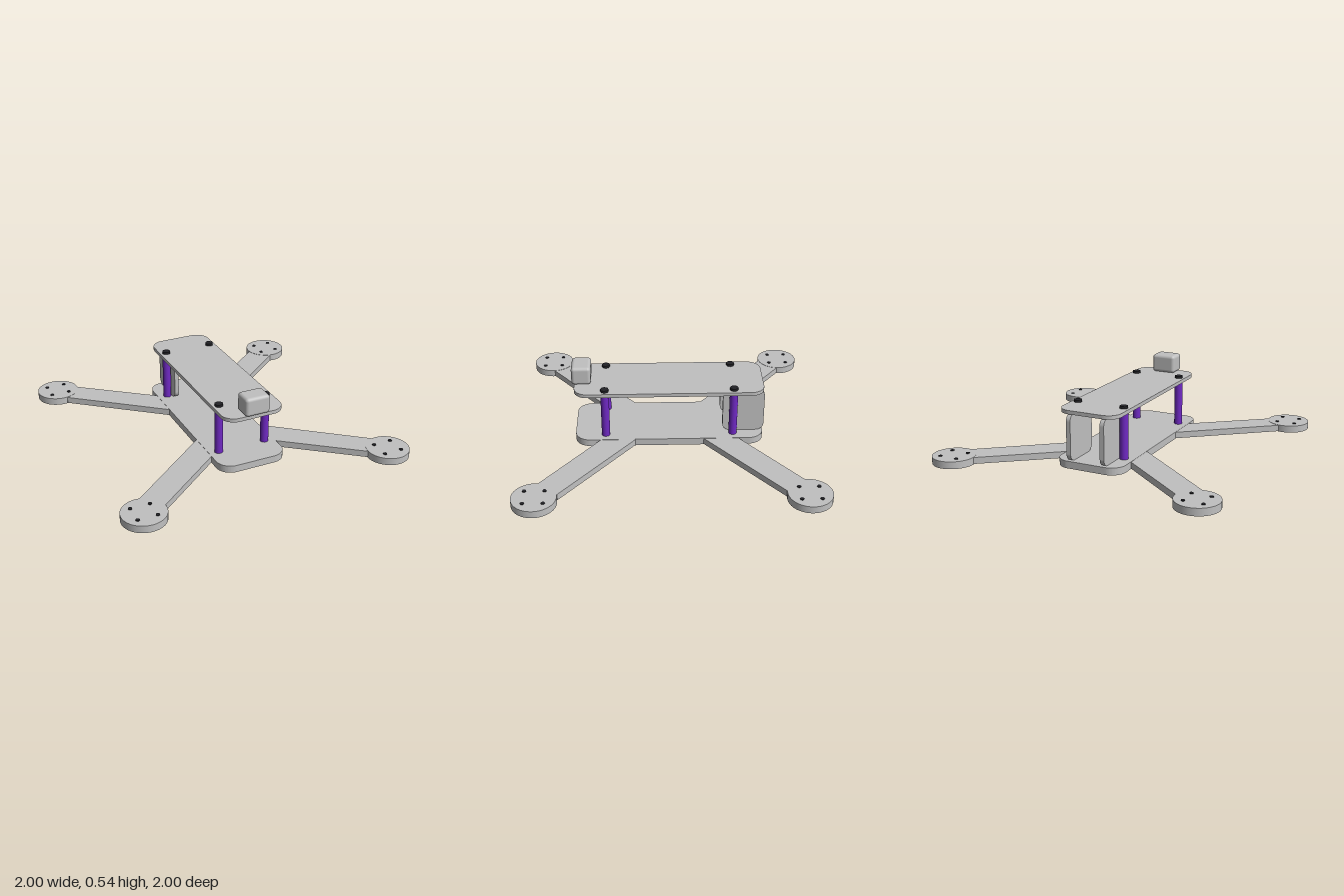
import * as THREE from 'three';
import { RoundedBoxGeometry } from 'three/addons/geometries/RoundedBoxGeometry.js';

function material(name, color) {
  const m = new THREE.MeshStandardMaterial({ color });
  m.name = name;
  return m;
}

function roundedRect(w, h, r) {
  const x = w / 2, y = h / 2, s = new THREE.Shape();
  s.absarc(x - r, y - r, r, 0, Math.PI / 2);
  s.absarc(-x + r, y - r, r, Math.PI / 2, Math.PI);
  s.absarc(-x + r, -y + r, r, Math.PI, Math.PI * 1.5);
  s.absarc(x - r, -y + r, r, Math.PI * 1.5, Math.PI * 2);
  s.closePath();
  return s;
}

// Extrudes a plan outline upwards from y0 to y1
function slab(shape, y0, y1) {
  const g = new THREE.ExtrudeGeometry(shape, { depth: y1 - y0, bevelEnabled: false, curveSegments: 8 });
  return g.rotateX(-Math.PI / 2).translate(0, y0, 0);
}

export function createModel() {
  const model = new THREE.Group();
  model.name = 'quadcopterFrame';
  const grey = material('frameGrey', 0xc0c0c0);
  const purple = material('standoffPurple', 0x7029c4);
  const black = material('screwBlack', 0x222226);

  const add = (name, geometry, mat, x = 0, y = 0, z = 0) => {
    const mesh = new THREE.Mesh(geometry, mat);
    mesh.name = name;
    mesh.position.set(x, y, z);
    model.add(mesh);
    return mesh;
  };
  const rod = (name, r, y0, y1, sides, mat, x, z) =>
    add(name, new THREE.CylinderGeometry(r, r, y1 - y0, sides), mat, x, (y0 + y1) / 2, z);

  // Main plates
  add('bottomPlate', slab(roundedRect(0.47, 1.27, 0.1), 0.022, 0.071), grey);
  add('topPlate', slab(roundedRect(0.42, 1.27, 0.09), 0.385, 0.41), grey);

  for (const sx of [-1, 1]) {
    for (const sz of [-1, 1]) {
      // Tapered arm running out to a round motor mount
      const arm = new THREE.Shape([
        [0.14, 0.39], [0.727, 0.853], [0.8, 0.87], [0.84, 0.81], [0.83, 0.714], [0.14, 0.153],
      ].map(([x, z]) => new THREE.Vector2(sx * x, -sz * z)));
      add('arm', slab(arm, 0.025, 0.069), grey);
      const mx = sx * 0.857, mz = sz * 0.857;
      rod('motorMount', 0.143, 0.022, 0.071, 40, grey, mx, mz);

      // Four small screws through each mount
      for (const dx of [-0.063, 0.063])
        for (const dz of [-0.063, 0.063])
          rod('motorScrew', 0.013, 0.019, 0.076, 8, black, mx + dx, mz + dz);

      // Standoff with a screw head above and below the plates
      const px = sx * 0.167, pz = sz * 0.43;
      rod('standoff', 0.028, 0.071, 0.385, 16, purple, px, pz);
      rod('topScrew', 0.028, 0.41, 0.426, 8, black, px, pz);
      rod('bottomScrew', 0.028, 0, 0.022, 8, black, px, pz);
    }

    // Upright rear side plate
    const side = new THREE.ExtrudeGeometry(roundedRect(0.28, 0.314, 0.05),
      { depth: 0.03, bevelEnabled: false, curveSegments: 6 });
    side.translate(0, 0, -0.015).rotateY(Math.PI / 2);
    add('rearSidePlate', side, grey, sx * 0.12, 0.228, -0.502);
  }

  // Camera block on the nose
  add('camera', new RoundedBoxGeometry(0.17, 0.127, 0.13, 4, 0.022), grey, 0, 0.473, 0.588);
  return model;
}
